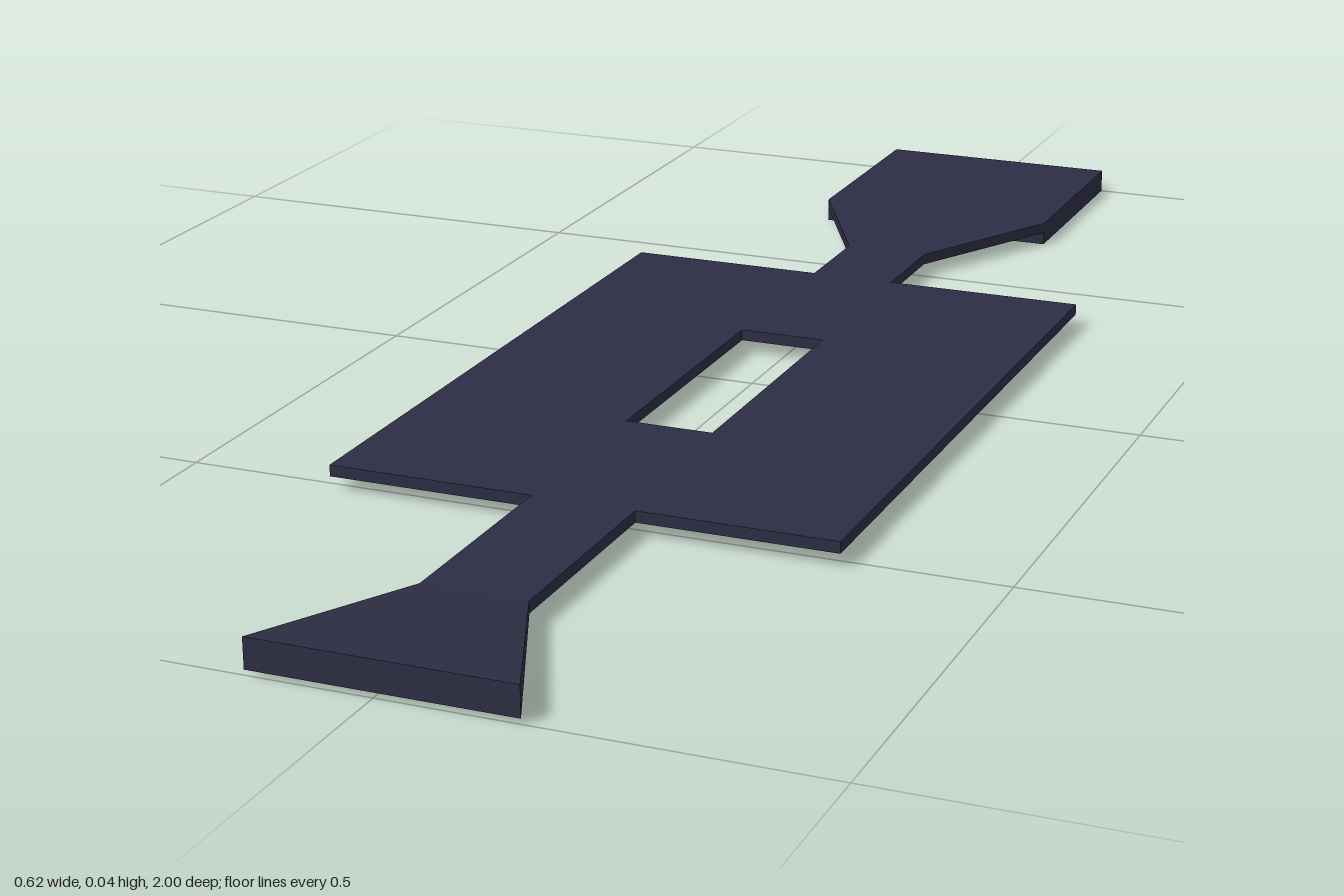
import * as THREE from 'three';

const TOP = 0.031, BOTTOM = 0.017;

export function createModel() {
  const group = new THREE.Group();
  const dark = new THREE.MeshStandardMaterial({ color: 0x2d2d44 });
  dark.name = 'dark slate';

  const add = (name, geometry) => {
    const mesh = new THREE.Mesh(geometry, dark);
    mesh.name = name;
    group.add(mesh);
  };

  // Flat plate from an outline of [x, z] points, between two heights
  const toPoints = (list) => list.map(([x, z]) => new THREE.Vector2(x, z));
  const plate = (outline, bottom, top, hole) => {
    const shape = new THREE.Shape(toPoints(outline));
    if (hole) shape.holes.push(new THREE.Path(toPoints(hole)));
    return new THREE.ExtrudeGeometry(shape, { depth: top - bottom, bevelEnabled: false })
      .rotateX(Math.PI / 2)
      .translate(0, top, 0);
  };
  const rect = (x0, x1, z0, z1) => [[x0, z0], [x1, z0], [x1, z1], [x0, z1]];

  // Wide body with a rectangular slot
  add('body', plate(rect(-0.311, 0.311, -0.365, 0.52), BOTTOM, TOP,
    rect(-0.056, 0.054, -0.105, 0.26)));

  // Rear neck widening towards the pad
  add('rearNeck', plate([
    [-0.056, -0.365], [-0.056, -0.5], [-0.163, -0.705],
    [0.163, -0.705], [0.054, -0.5], [0.054, -0.365],
  ], BOTTOM, TOP));

  // Thicker rear pad, stepping down below the neck
  add('rearPad', plate(rect(-0.163, 0.163, -1, -0.705), 0, TOP));

  // Front stem
  add('frontStem', plate(rect(-0.056, 0.07, 0.52, 0.79), BOTTOM, TOP));

  // Front flare growing in width and thickness towards the tip
  const flare = new THREE.BoxGeometry(1, 1, 1).toNonIndexed();
  const p = flare.attributes.position;
  for (let i = 0; i < p.count; i++) {
    const tip = p.getZ(i) > 0;
    const left = p.getX(i) > 0;
    const up = p.getY(i) > 0;
    const x = tip ? (left ? 0.161 : -0.145) : (left ? 0.07 : -0.056);
    const y = tip ? (up ? 0.042 : 0.006) : (up ? TOP : BOTTOM);
    p.setXYZ(i, x, y, tip ? 1 : 0.79);
  }
  flare.computeVertexNormals();
  add('frontFlare', flare);

  return group;
}
